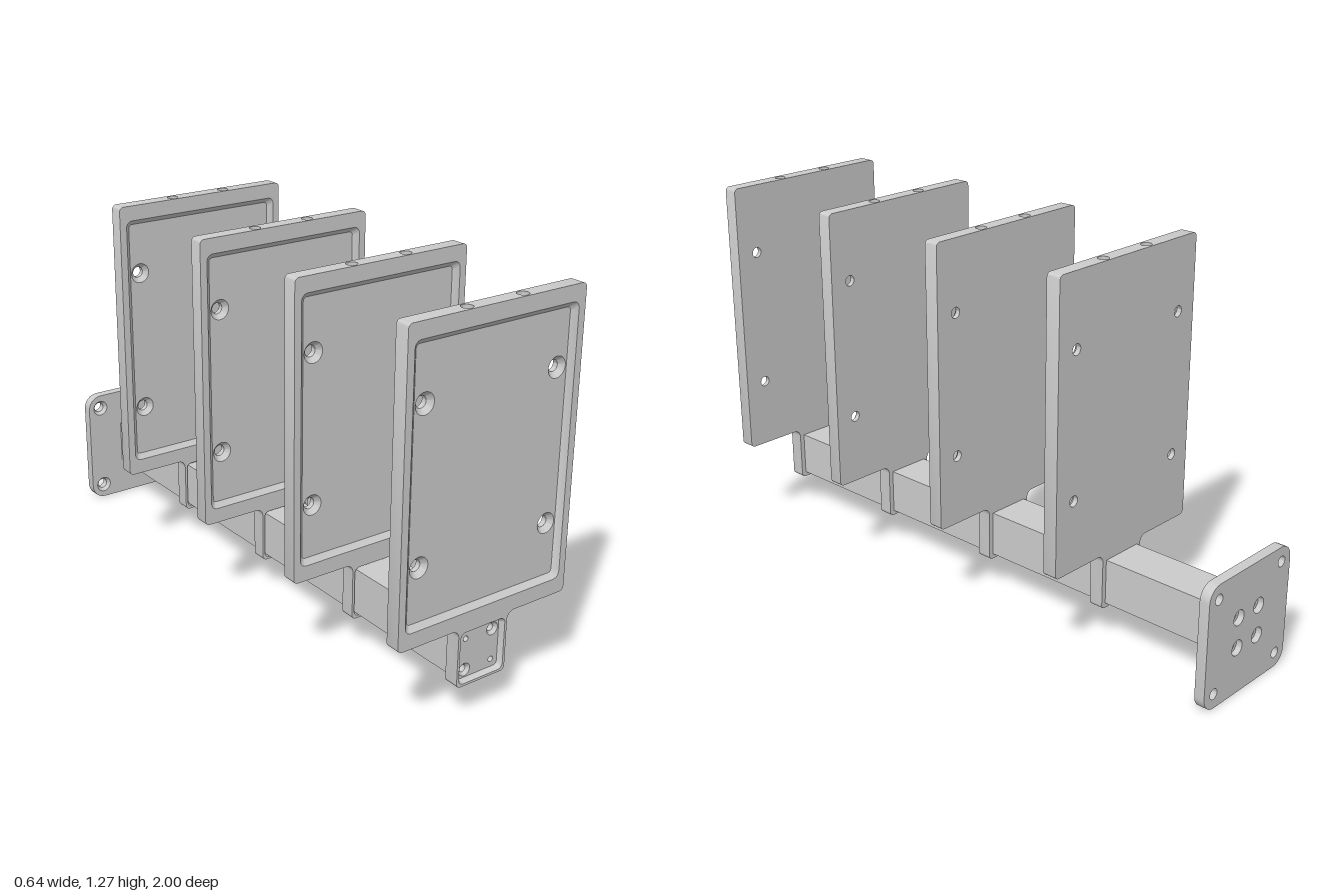
import * as THREE from 'three';
import { mergeGeometries, toCreasedNormals } from 'three/addons/utils/BufferGeometryUtils.js';

const material = new THREE.MeshStandardMaterial({ color: 0xcccccc });
const THICK = 0.049, POCKET = 0.016, MID_Y = 0.21;

// Counter-clockwise contours
function circle(x, y, r, n = 28) {
  return Array.from({ length: n }, (_, i) => {
    const a = (i / n) * Math.PI * 2;
    return new THREE.Vector2(x + r * Math.cos(a), y + r * Math.sin(a));
  });
}

// Polygon whose corners [x, y, radius] are rounded, convex or concave
function rounded(corners) {
  const points = [], n = corners.length;
  corners.forEach(([x, y, r], i) => {
    const p = new THREE.Vector2(x, y);
    if (!r) { points.push(p); return; }
    const toward = ([qx, qy]) => new THREE.Vector2(qx, qy).sub(p).setLength(r);
    const u = toward(corners[(i + n - 1) % n]), v = toward(corners[(i + 1) % n]);
    for (let k = 0; k <= 6; k++) {
      const a = (k / 6) * Math.PI / 2;
      points.push(p.clone().addScaledVector(u, 1 - Math.sin(a)).addScaledVector(v, 1 - Math.cos(a)));
    }
  });
  return points;
}

const rect = (x, y0, y1, r) => rounded([[-x, y0, r], [x, y0, r], [x, y1, r], [-x, y1, r]]);

// Flat face with holes at depth z
function face(outline, holes, z, back = false) {
  const shape = new THREE.Shape(outline);
  shape.holes = holes.map((h) => new THREE.Path(h));
  const g = new THREE.ShapeGeometry(shape);
  if (back) g.index.array.reverse();
  g.translate(0, 0, z);
  return strip(g.toNonIndexed());
}

function strip(g) {
  g.deleteAttribute('uv');
  g.deleteAttribute('normal');
  return g;
}

// Wall lofted between contours; rising z faces outward, falling z faces inward
function wall(a, za, b, zb) {
  const pos = [];
  a.forEach((p, i) => {
    const j = (i + 1) % a.length, q = a[j], s = b[i], t = b[j];
    pos.push(p.x, p.y, za, q.x, q.y, za, t.x, t.y, zb, p.x, p.y, za, t.x, t.y, zb, s.x, s.y, zb);
  });
  return new THREE.BufferGeometry().setAttribute('position', new THREE.Float32BufferAttribute(pos, 3));
}

// Screw hole from zTop to zBottom, with a conical or stepped wide mouth
function hole(x, y, r, mouth, zTop, zMid, zBottom, stepped = false) {
  const wide = circle(x, y, mouth), narrow = circle(x, y, r);
  const walls = [wall(narrow, zMid, narrow, zBottom)];
  if (stepped) {
    walls.push(wall(wide, zTop, wide, zMid), face(wide, [narrow], zMid, zTop < zMid));
  } else if (mouth !== r) walls.push(wall(wide, zTop, narrow, zMid));
  else walls.push(wall(narrow, zTop, narrow, zMid));
  return { wide, narrow, walls };
}

function solid(name, parts) {
  const g = toCreasedNormals(mergeGeometries(parts), 0.5);
  const mesh = new THREE.Mesh(g, material);
  mesh.name = name;
  return mesh;
}

function createPanel() {
  const panel = new THREE.Group();
  const zf = THICK / 2, zb = -zf, floor = zf - POCKET;
  const w = 0.318, t = 0.093, top = 1.266, notch = 0.15, notchY = 1.225;

  // Outline with a tab below and a slot on top for the drilled bar
  const outline = rounded([
    [-t, 0.117, 0.015], [t, 0.117, 0.015], [t, 0.31, 0.025], [w, 0.31, 0.015],
    [w, top, 0.015], [notch, top, 0], [notch, notchY, 0],
    [-notch, notchY, 0], [-notch, top, 0], [-w, top, 0.015], [-w, 0.31, 0.015], [-t, 0.31, 0.025]]);

  // Sloped pockets: large one in the panel, small one in the tab
  const bigRim = rect(0.294, 0.36, 1.216, 0.022), bigFloor = rect(0.277, 0.377, 1.199, 0.012);
  const tabRim = rect(0.085, 0.125, 0.295, 0.018), tabFloor = rect(0.076, 0.134, 0.286, 0.012);

  const bigHoles = [], tabHoles = [];
  for (const x of [-0.24, 0.24]) for (const y of [0.547, 1.028])
    bigHoles.push(hole(x, y, 0.018, 0.033, floor, floor - 0.016, zb));
  for (const sx of [-1, 1]) for (const sy of [-1, 1]) {
    const mouth = sx === sy ? 0.021 : 0.009;
    tabHoles.push(hole(sx * 0.051, MID_Y + sy * 0.051, sx === sy ? 0.012 : 0.009, mouth, floor, floor - 0.01, zb));
  }
  const holes = [...bigHoles, ...tabHoles];
  panel.add(solid('panelPlate', [
    wall(outline, zb, outline, zf),
    face(outline, [bigRim, tabRim], zf),
    face(outline, holes.map((h) => h.narrow), zb, true),
    wall(bigRim, zf, bigFloor, floor),
    wall(tabRim, zf, tabFloor, floor),
    face(bigFloor, bigHoles.map((h) => h.wide), floor),
    face(tabFloor, tabHoles.map((h) => h.wide), floor),
    ...holes.flatMap((h) => h.walls)]));

  // Top edge bar with two upright holes
  const bar = new THREE.Shape([[-notch, zb], [notch, zb], [notch, zf], [-notch, zf]]
    .map(([x, y]) => new THREE.Vector2(x, y)));
  bar.holes = [-0.1, 0.1].map((x) => new THREE.Path(circle(x, 0, 0.018)));
  const g = new THREE.ExtrudeGeometry(bar, { depth: top - notchY, bevelEnabled: false });
  g.rotateX(-Math.PI / 2).translate(0, notchY, 0);
  panel.add(solid('topEdgeBar', [strip(g)]));
  return panel;
}

function createMountingPlate() {
  const zb = -1, zf = -0.965;
  const outline = rect(0.207, 0, 0.416, 0.05);
  const corner = [], centre = [];
  for (const sx of [-1, 1]) for (const sy of [-1, 1]) {
    // Corner holes open wide at the front, beam bolt holes at the back
    corner.push(hole(sx * 0.16, 0.208 + sy * 0.158, 0.018, 0.028, zf, zf - 0.012, zb));
    const b = hole(sx * 0.051, MID_Y + sy * 0.051, 0.014, 0.026, zb, zb + 0.02, zf, true);
    // These bores run forward, so turn their walls to face inward
    b.walls.forEach((g, i) => { if (i < 2) flip(g); });
    centre.push(b);
  }
  return solid('mountingPlate', [
    wall(outline, zb, outline, zf),
    face(outline, [...corner.map((h) => h.wide), ...centre.map((h) => h.narrow)], zf),
    face(outline, [...corner.map((h) => h.narrow), ...centre.map((h) => h.wide)], zb, true),
    ...[...corner, ...centre].flatMap((h) => h.walls)]);
}

// Reverse the winding of a non-indexed geometry
function flip(g) {
  const p = g.attributes.position, a = new THREE.Vector3(), b = new THREE.Vector3();
  for (let i = 0; i < p.count; i += 3) {
    a.fromBufferAttribute(p, i + 1);
    b.fromBufferAttribute(p, i + 2);
    p.setXYZ(i + 1, b.x, b.y, b.z);
    p.setXYZ(i + 2, a.x, a.y, a.z);
  }
}

export function createModel() {
  const model = new THREE.Group();
  model.name = 'panelRack';

  // Four equal panels along the beam, with a beam section behind each
  const spacing = 0.489, first = 1 - THICK / 2;
  for (let i = 0; i < 4; i++) {
    const z = first - i * spacing;
    const panel = createPanel();
    panel.name = `panel${i + 1}`;
    panel.position.z = z;
    model.add(panel);

    const start = z - THICK / 2;
    const end = i < 3 ? z - spacing + THICK / 2 - POCKET : -0.965;
    const beam = new THREE.Mesh(new THREE.BoxGeometry(0.152, 0.152, start - end), material);
    beam.name = `beamSection${i + 1}`;
    beam.position.set(0, MID_Y, (start + end) / 2);
    model.add(beam);
  }
  model.add(createMountingPlate());
  return model;
}
